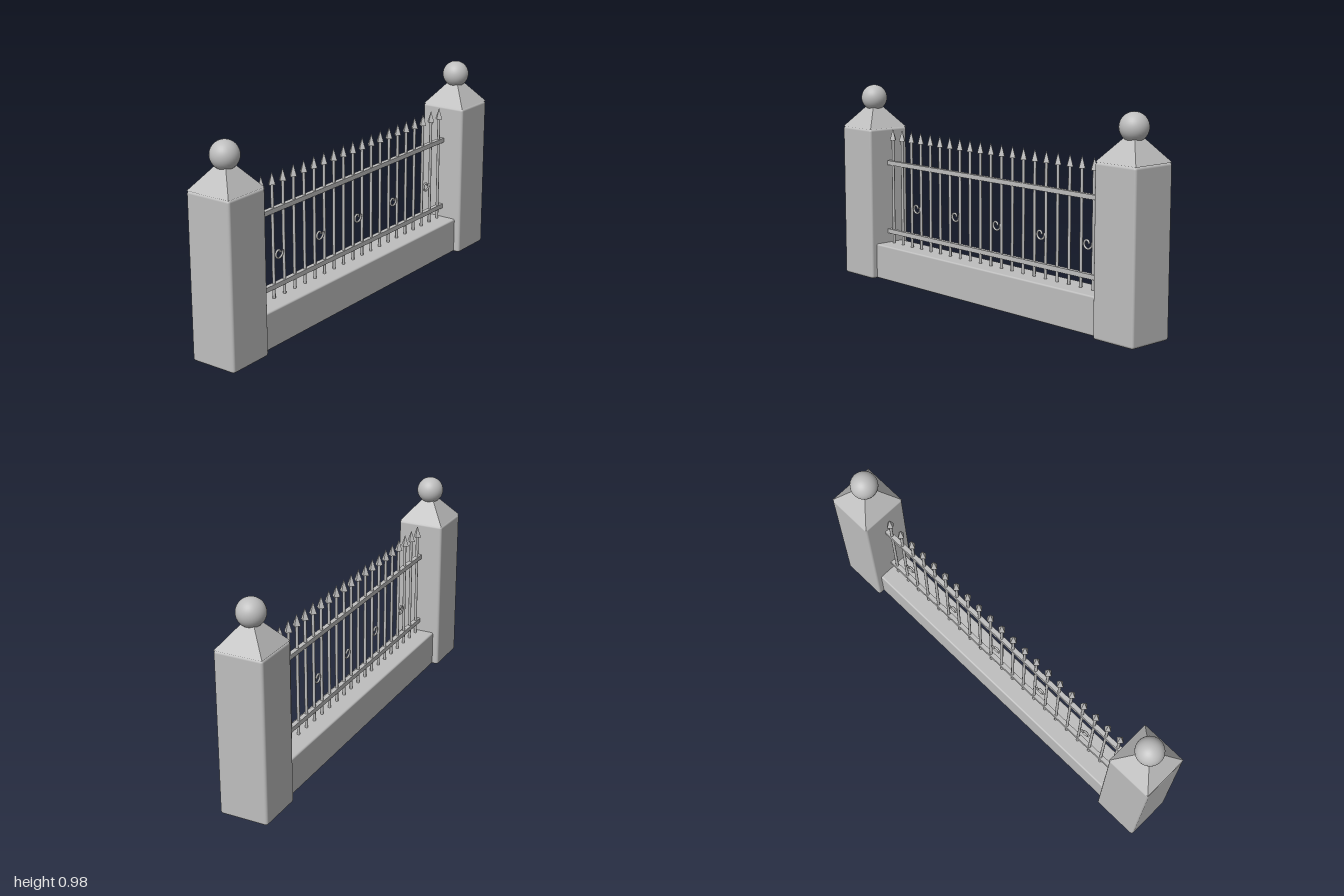
import * as THREE from 'three';
import { RoundedBoxGeometry } from 'three/addons/geometries/RoundedBoxGeometry.js';

export function createModel() {
  const fence = new THREE.Group();
  fence.name = 'fenceSection';

  const stone = new THREE.MeshStandardMaterial({ color: 0xbebebe });
  stone.name = 'grey';

  function add(parent, name, geometry, x, y, z = 0) {
    const mesh = new THREE.Mesh(geometry, stone);
    mesh.name = name;
    mesh.position.set(x, y, z);
    parent.add(mesh);
    return mesh;
  }

  // Low wall between the posts
  add(fence, 'baseWall', new RoundedBoxGeometry(1.56, 0.176, 0.17, 2, 0.008), 0, 0.09);

  // End posts with a pyramid cap and a ball
  const postGeometry = new RoundedBoxGeometry(0.23, 0.765, 0.232, 2, 0.012);
  const capGeometry = new THREE.ConeGeometry(0.114 * Math.SQRT2, 0.14, 4, 1).toNonIndexed();
  capGeometry.rotateY(Math.PI / 4);
  capGeometry.computeVertexNormals();
  const ballGeometry = new THREE.SphereGeometry(0.065, 32, 20);
  for (const side of [-1, 1]) {
    const post = new THREE.Group();
    post.name = side < 0 ? 'rightPost' : 'leftPost';
    post.position.x = side * 0.885;
    add(post, 'postBody', postGeometry, 0, 0.3825);
    add(post, 'postCap', capGeometry, 0, 0.835);
    add(post, 'postBall', ballGeometry, 0, 0.913);
    fence.add(post);
  }

  // Horizontal rails
  const railGeometry = new THREE.BoxGeometry(1.55, 0.022, 0.022);
  add(fence, 'lowerRail', railGeometry, 0, 0.237);
  add(fence, 'upperRail', railGeometry, 0, 0.59);

  // Upright bars with four-sided spear points
  const barGeometry = new THREE.CylinderGeometry(0.007, 0.007, 0.54, 10);
  const spearGeometry = new THREE.ConeGeometry(0.02, 0.056, 4, 1).toNonIndexed();
  spearGeometry.computeVertexNormals();
  const spacing = 0.0735;
  for (let i = -10; i <= 10; i++) {
    add(fence, 'bar', barGeometry, i * spacing, 0.446);
    add(fence, 'spearPoint', spearGeometry, i * spacing, 0.736);
  }

  // Small spiral scrolls in every fourth gap
  const spiral = [];
  for (let i = 0; i <= 24; i++) {
    const t = i / 24;
    const angle = t * Math.PI * 2.1;
    const radius = 0.01 + 0.019 * t;
    spiral.push(new THREE.Vector3(Math.cos(angle) * radius, Math.sin(angle) * radius, 0));
  }
  const scrollGeometry = new THREE.TubeGeometry(new THREE.CatmullRomCurve3(spiral), 48, 0.005, 8);
  for (let i = -2; i <= 2; i++) {
    add(fence, 'scroll', scrollGeometry, (i * 4 + 0.5) * spacing, 0.38);
  }

  return fence;
}
